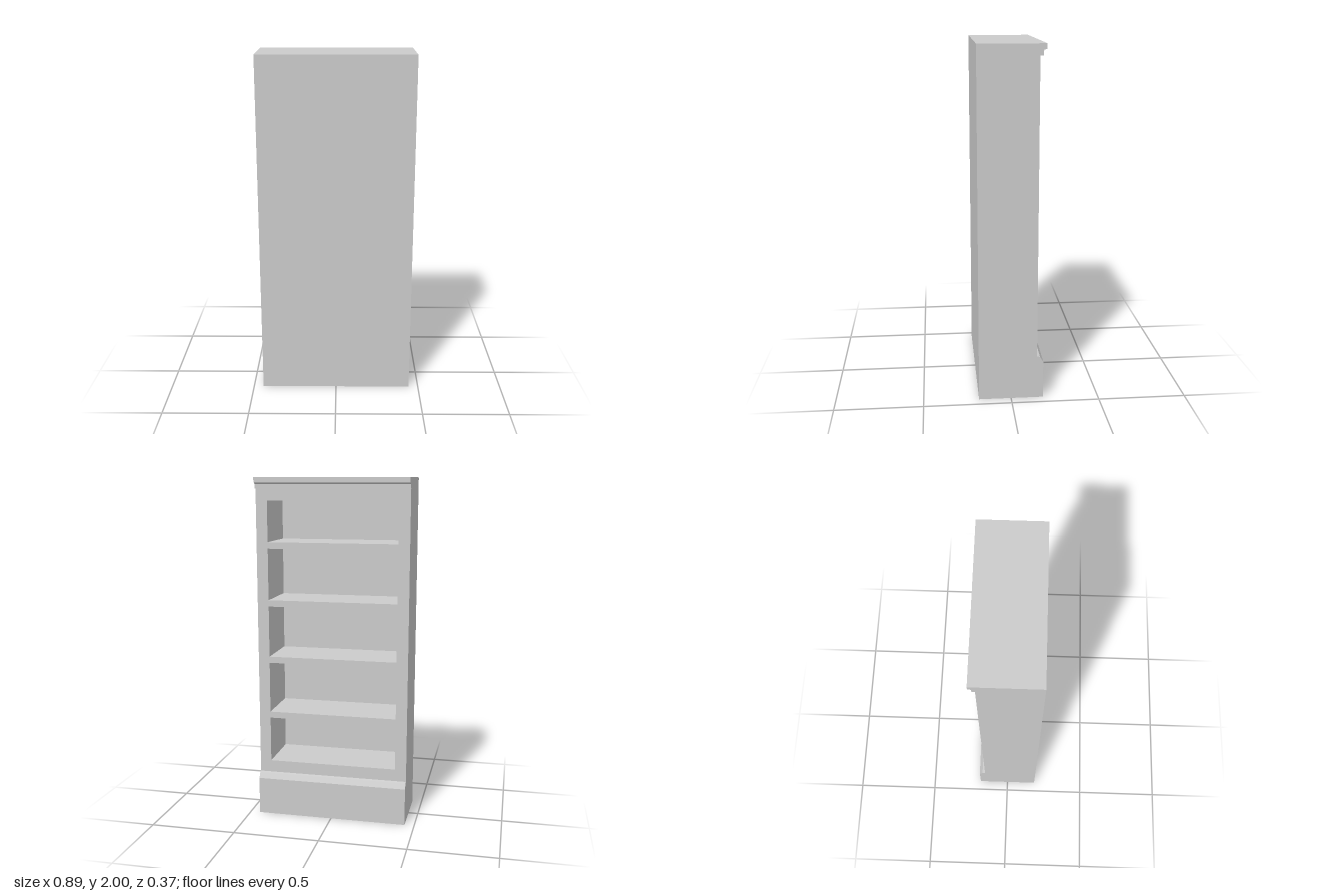
import * as THREE from 'three';

const HALF_W = 0.443, BACK = 0.184, FRONT = -0.184, FACE = -0.148;
const BACK_PANEL = 0.018;   // thickness of the back panel
const OPEN_HALF = 0.377;    // half width of the shelf openings
const SHELF = 0.037;        // shelf thickness

const material = new THREE.MeshStandardMaterial({ color: 0xcccccc, flatShading: true });

function addMesh(group, name, geometry) {
  const mesh = new THREE.Mesh(geometry, material);
  mesh.name = name;
  group.add(mesh);
}

// Moulding: a (z, y) profile run across the full width
function moulding(points) {
  const shape = new THREE.Shape(points.map(([z, y]) => new THREE.Vector2(z, y)));
  const geo = new THREE.ExtrudeGeometry(shape, { depth: 2 * HALF_W, bevelEnabled: false });
  geo.translate(0, 0, -HALF_W);
  geo.rotateY(-Math.PI / 2);
  return geo;
}

function rectangle(path, x0, y0, x1, y1) {
  path.moveTo(x0, y0);
  path.lineTo(x1, y0);
  path.lineTo(x1, y1);
  path.lineTo(x0, y1);
  path.closePath();
  return path;
}

export function createModel() {
  const group = new THREE.Group();
  group.name = 'bookcase';

  // Carcass with five shelf compartments, open towards -z
  const carcass = rectangle(new THREE.Shape(), -HALF_W, 0, HALF_W, 2);
  const floors = [0.325, 0.63, 0.966, 1.301, 1.636];
  floors.forEach((floor, i) => {
    const ceiling = i < floors.length - 1 ? floors[i + 1] - SHELF : 1.87;
    carcass.holes.push(rectangle(new THREE.Path(), -OPEN_HALF, floor, OPEN_HALF, ceiling));
  });
  const carcassGeo = new THREE.ExtrudeGeometry(carcass, {
    depth: BACK - BACK_PANEL - FACE, bevelEnabled: false,
  });
  carcassGeo.translate(0, 0, FACE);
  addMesh(group, 'carcassAndShelves', carcassGeo);

  // Back panel
  const backGeo = new THREE.BoxGeometry(2 * HALF_W, 2, BACK_PANEL);
  backGeo.translate(0, 1, BACK - BACK_PANEL / 2);
  addMesh(group, 'backPanel', backGeo);

  // Stepped crown along the top edge
  addMesh(group, 'crownMoulding', moulding([
    [FACE, 2], [FRONT, 2], [FRONT, 1.972], [-0.17, 1.968],
    [-0.165, 1.962], [-0.165, 1.938], [FACE, 1.938],
  ]));

  // Plinth with a sloped top edge
  addMesh(group, 'plinth', moulding([
    [FACE, 0], [FRONT, 0], [FRONT, 0.22], [-0.165, 0.25], [FACE, 0.254],
  ]));

  return group;
}
